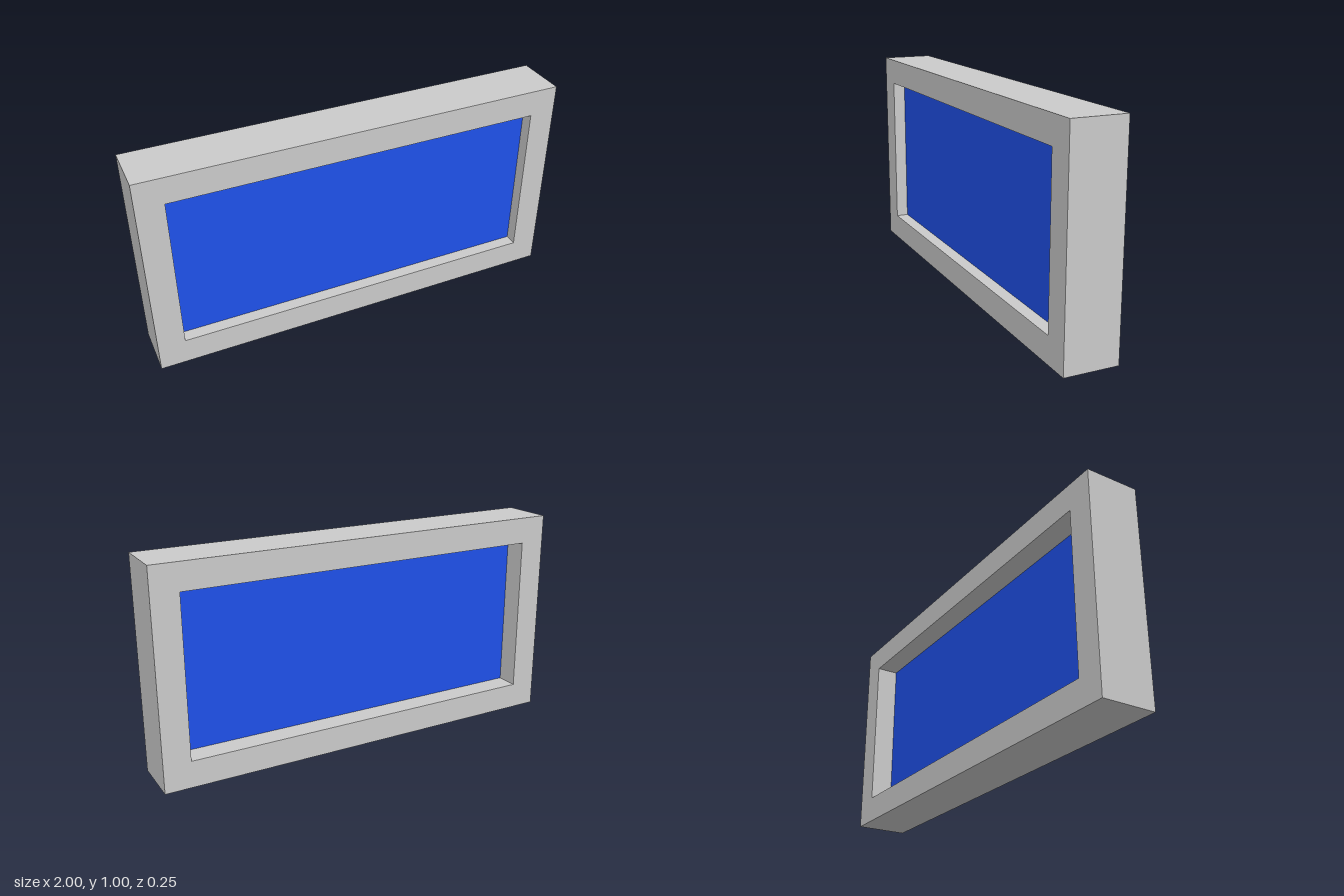
import * as THREE from 'three';

const W = 2, H = 1, D = 0.25, BORDER = 0.125;
const PANE_FRONT = 0.065, PANE_BACK = -0.017;

// Rectangle centred on x = 0, inset from the outer outline
function rectangle(PathType, inset) {
  const x = W / 2 - inset, y0 = inset, y1 = H - inset;
  return new PathType([
    new THREE.Vector2(-x, y0), new THREE.Vector2(x, y0),
    new THREE.Vector2(x, y1), new THREE.Vector2(-x, y1),
  ]);
}

export function createModel() {
  const group = new THREE.Group();
  group.name = 'framedWindow';

  // Square-edged frame with a rectangular opening
  const outline = rectangle(THREE.Shape, 0);
  outline.holes.push(rectangle(THREE.Path, BORDER));
  const frameGeometry = new THREE.ExtrudeGeometry(outline, { depth: D, bevelEnabled: false });
  frameGeometry.translate(0, 0, -D / 2);
  const frame = new THREE.Mesh(frameGeometry, new THREE.MeshStandardMaterial({ color: 0xcccccc }));
  frame.name = 'frame';

  // Pane filling the opening, set slightly towards the front
  const pane = new THREE.Mesh(
    new THREE.BoxGeometry(W - 2 * BORDER, H - 2 * BORDER, PANE_FRONT - PANE_BACK),
    new THREE.MeshStandardMaterial({ color: 0x1f51eb }),
  );
  pane.position.set(0, H / 2, (PANE_FRONT + PANE_BACK) / 2);
  pane.name = 'pane';

  group.add(frame, pane);
  return group;
}
